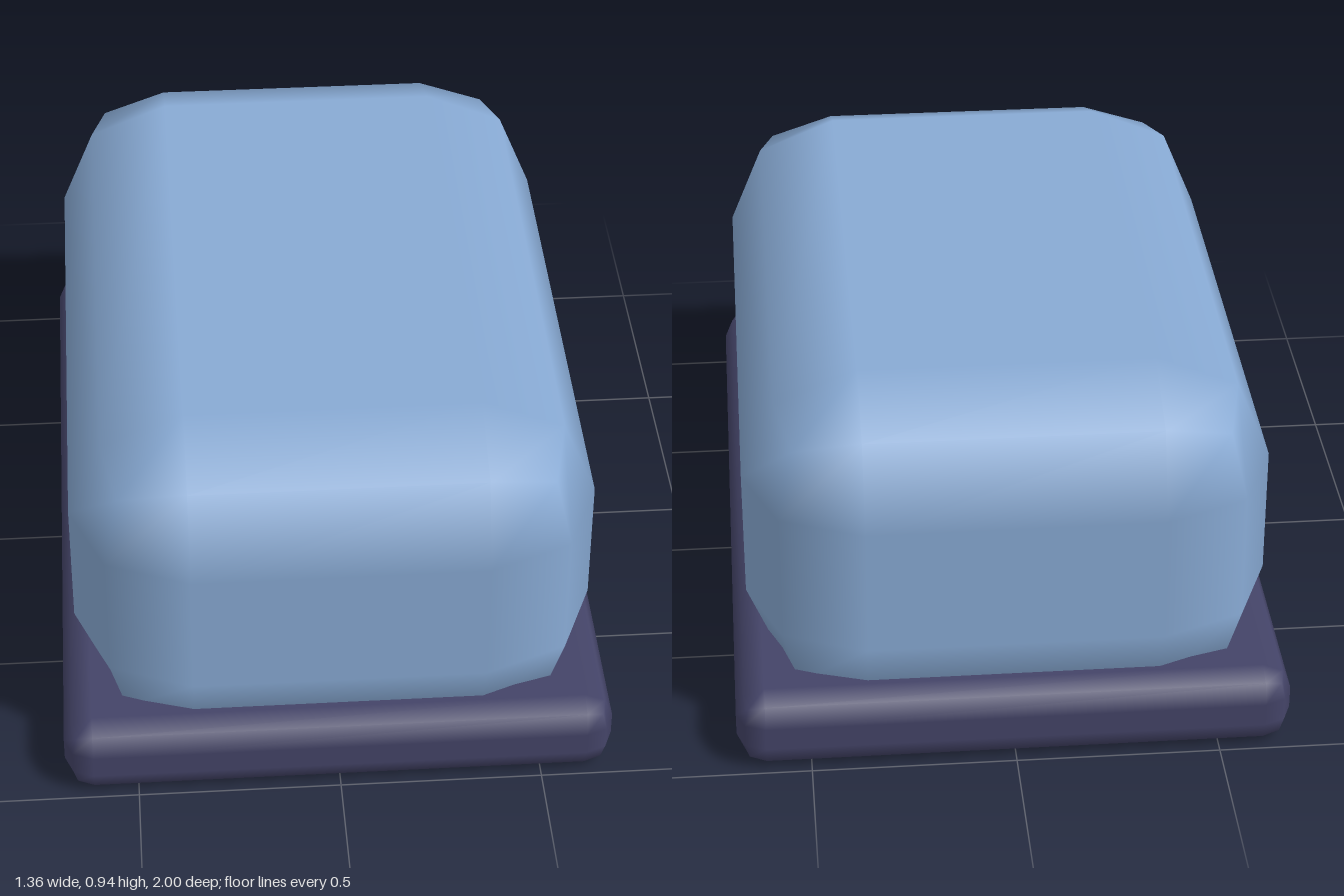
import * as THREE from 'three';
import { RoundedBoxGeometry } from 'three/addons/geometries/RoundedBoxGeometry.js';

// One-segment rounded block standing with its underside at y = bottom
function roundedBlock(name, [w, h, d], radius, bottom, material) {
  const mesh = new THREE.Mesh(new RoundedBoxGeometry(w, h, d, 1, radius), material);
  mesh.name = name;
  mesh.position.y = bottom + h / 2;
  return mesh;
}

export function createModel() {
  const blue = new THREE.MeshStandardMaterial({ color: 0x88aad4 });
  blue.name = 'soft blue';
  const navy = new THREE.MeshStandardMaterial({ color: 0x444468 });
  navy.name = 'dark navy';

  const model = new THREE.Group();
  model.name = 'blockOnBase';

  // Thin base slab, with the large rounded block sunk into it
  model.add(roundedBlock('base', [1.36, 0.2, 2], 0.071, 0, navy));
  model.add(roundedBlock('body', [1.286, 0.9, 1.929], 0.286, 0.036, blue));
  return model;
}
